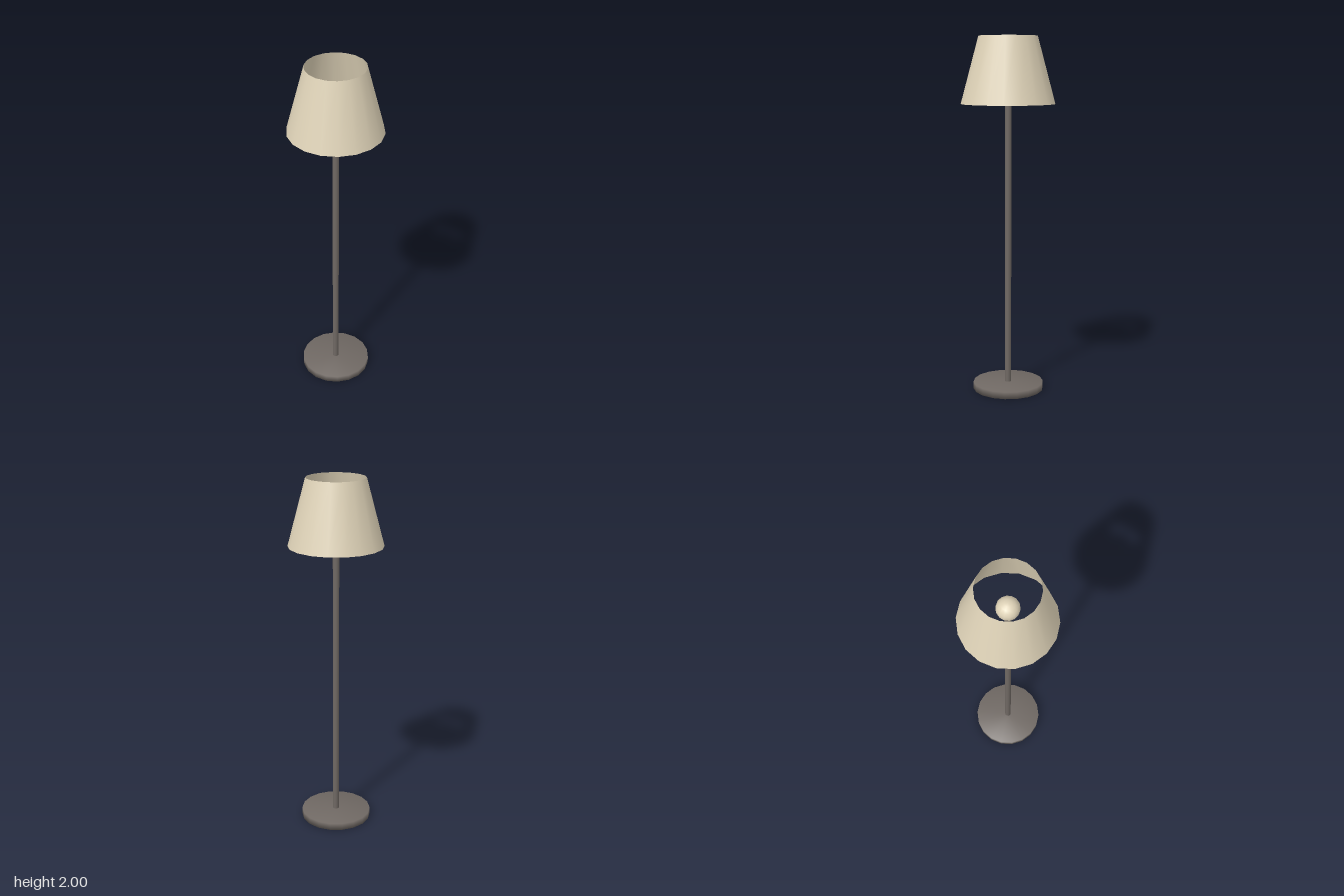
import * as THREE from 'three';
import { mergeVertices } from 'three/addons/utils/BufferGeometryUtils.js';

const metal = new THREE.MeshStandardMaterial({ color: 0x6f6863 });
metal.name = 'darkMetal';
const cream = new THREE.MeshStandardMaterial({ color: 0xdfd3b8 });
cream.name = 'creamGlass';
const fabric = new THREE.MeshStandardMaterial({ color: 0xdfd3b8, side: THREE.DoubleSide });
fabric.name = 'creamFabric';

// Solid cylinder standing on y, with normals blended across its rims
function softCylinder(radius, height, y, sides) {
  const g = new THREE.CylinderGeometry(radius, radius, height, sides, 1, false, Math.PI / 2);
  g.deleteAttribute('normal');
  g.deleteAttribute('uv');
  const soft = mergeVertices(g, 1e-4);
  soft.computeVertexNormals();
  return soft.translate(0, y + height / 2, 0);
}

export function createModel() {
  const lamp = new THREE.Group();
  lamp.name = 'floorLamp';

  const add = (name, geometry, material) => {
    const mesh = new THREE.Mesh(geometry, material);
    mesh.name = name;
    lamp.add(mesh);
    return mesh;
  };

  // Foot and pole
  add('base', softCylinder(0.2, 0.04, 0, 18), metal);
  add('pole', softCylinder(0.018, 1.71, 0.03, 12), metal);

  // Bulb on top of the pole
  add('bulb', new THREE.SphereGeometry(0.062, 14, 10), cream).position.y = 1.78;

  // Open tapered shade, a single thin skin
  add('shade', new THREE.CylinderGeometry(0.163, 0.262, 0.37, 18, 1, true, Math.PI / 2), fabric).position.y = 1.815;

  return lamp;
}
